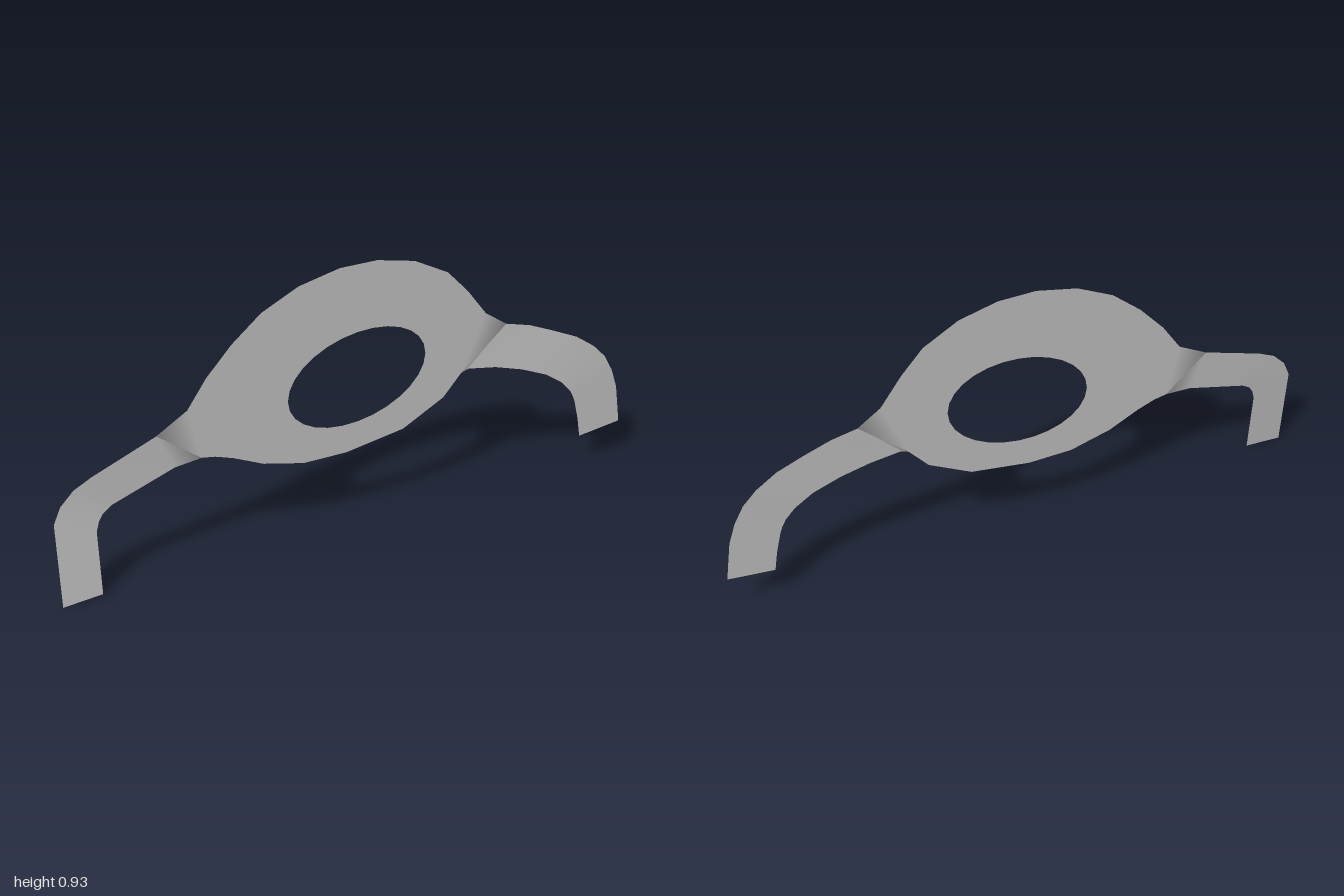
import * as THREE from 'three';

const BODY_Z = -0.022;

// Open strip through stations of [outerX, outerY, innerX, innerY, outerZ, innerZ]
function strip(stations, flip) {
  const pos = [], index = [];
  stations.forEach(([ox, oy, ix, iy, oz, iz = oz], i) => {
    pos.push(ox, oy, oz, ix, iy, iz);
    if (i === 0) return;
    const a = 2 * i - 2, b = a + 1, c = a + 2, d = a + 3;
    if (flip) index.push(a, c, b, b, c, d);
    else index.push(a, b, c, b, d, c);
  });
  const geo = new THREE.BufferGeometry();
  geo.setAttribute('position', new THREE.Float32BufferAttribute(pos, 3));
  geo.setIndex(index);
  geo.computeVertexNormals();
  // Blend smoothly into the flat plate at the root
  geo.attributes.normal.setXYZ(0, 0, 0, 1);
  geo.attributes.normal.setXYZ(1, 0, 0, 1);
  return geo;
}

export function createModel() {
  const group = new THREE.Group();
  group.name = 'bracket';
  const metal = new THREE.MeshStandardMaterial({ color: 0xc4c4c4, side: THREE.DoubleSide });
  metal.name = 'light grey sheet';

  const add = (name, geo) => {
    const mesh = new THREE.Mesh(geo, metal);
    mesh.name = name;
    group.add(mesh);
    return mesh;
  };

  // Flat central plate
  const outline = [
    [-0.55, 0.56], [-0.51, 0.382], [-0.465, 0.374], [-0.406, 0.353], [-0.305, 0.305],
    [-0.166, 0.27], [-0.016, 0.27], [0.187, 0.305], [0.332, 0.385], [0.396, 0.46],
    [0.48, 0.658], [0.41, 0.754], [0.337, 0.834], [0.22, 0.898], [0.09, 0.928],
    [-0.037, 0.928], [-0.176, 0.896], [-0.3, 0.834], [-0.4, 0.749], [-0.485, 0.655],
  ];
  const plate = new THREE.Shape(outline.map(([x, y]) => new THREE.Vector2(x, y)));

  // Slightly tilted oval opening
  const hole = [];
  for (let i = 0; i < 28; i++) {
    const t = (-i / 28) * Math.PI * 2;
    hole.push(new THREE.Vector2(0.023 + 0.24 * Math.cos(t), 0.535 + 0.163 * Math.sin(t + 0.18)));
  }
  plate.holes.push(new THREE.Path(hole));
  add('centralPlate', new THREE.ShapeGeometry(plate)).position.z = BODY_Z;

  // Arm on the -x side, bent gently forward and down to the foot
  add('rightArm', strip([
    [-0.55, 0.56, -0.51, 0.382, BODY_Z],
    [-0.655, 0.5, -0.6, 0.374, -0.016, -0.018],
    [-0.87, 0.42, -0.815, 0.305, -0.005],
    [-0.93, 0.39, -0.845, 0.285, -0.003, -0.001],
    [-0.975, 0.345, -0.86, 0.262, -0.001, 0.002],
    [-1, 0.29, -0.87, 0.23, 0.001, 0.005],
    [-1, 0, -0.87, 0.01, 0.022, 0.021],
  ], false));

  // Arm on the +x side, a rounder hook with a shorter end
  add('leftArm', strip([
    [0.48, 0.658, 0.396, 0.46, BODY_Z],
    [0.556, 0.604, 0.422, 0.47, -0.019, -0.021],
    [0.64, 0.583, 0.52, 0.455, -0.012, -0.015],
    [0.72, 0.55, 0.615, 0.428, -0.004, -0.006],
    [0.813, 0.508, 0.706, 0.39, 0.004, 0.002],
    [0.88, 0.46, 0.765, 0.348, 0.008, 0.007],
    [0.925, 0.412, 0.797, 0.31, 0.01],
    [0.957, 0.353, 0.81, 0.285, 0.01],
    [0.98, 0.283, 0.818, 0.262, 0.01],
    [0.99, 0.214, 0.834, 0.193, 0.01],
    [1, 0.144, 0.845, 0.123, 0.01],
  ], true));

  return group;
}
